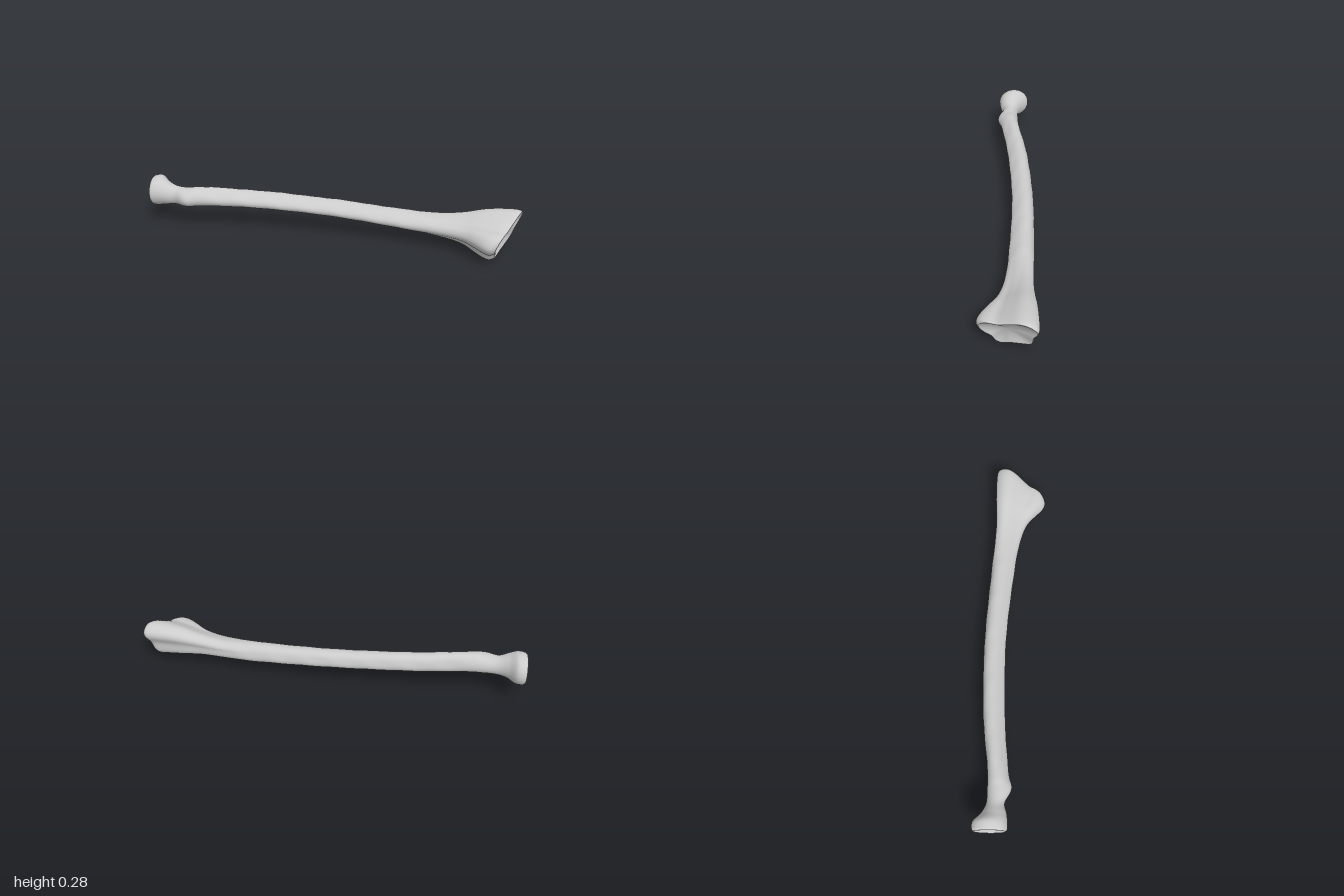
import * as THREE from 'three';

const { smoothstep, lerp } = THREE.MathUtils;
const SIDES = 72;
const STEPS = 12; // rings between two stations
const CAP = 14; // rings across each hollow joint face

// Outline of the flared wrist end, as [z, y], starting at +z and turning to +y
const FLARE = [
  [0.185, 0.11], [0.17, 0.153], [0.14, 0.17], [0.1, 0.176], [0.06, 0.2], [0, 0.236],
  [-0.04, 0.238], [-0.08, 0.212], [-0.087, 0.185], [-0.07, 0.14], [-0.062, 0.075],
  [0, 0.044], [0.04, 0.028], [0.075, 0.003], [0.1, 0.01], [0.125, 0.05], [0.16, 0.07],
];

// Stations along the bone: x, yMin, yMax, zMin, zMax
const STATIONS = [
  // head and neck
  [-1, 0.122, 0.268, -0.175, -0.02],
  [-0.985, 0.114, 0.277, -0.185, -0.01],
  [-0.95, 0.116, 0.28, -0.18, -0.01],
  [-0.91, 0.127, 0.258, -0.14, -0.015],
  [-0.86, 0.132, 0.237, -0.116, -0.024],
  // tuberosity
  [-0.79, 0.13, 0.235, -0.115, 0.009],
  [-0.7, 0.13, 0.24, -0.118, -0.007],
  // shaft
  [-0.4, 0.126, 0.225, -0.148, -0.028],
  [0, 0.108, 0.204, -0.149, -0.026],
  [0.4, 0.08, 0.184, -0.122, 0.014],
  [0.58, 0.067, 0.184, -0.103, 0.042],
  // flared wrist end
  [0.7, 0.052, 0.2, -0.092, 0.08],
  [0.79, 0.027, 0.228, -0.094, 0.13],
  [0.86, 0.01, 0.239, -0.092, 0.17],
  [0.905, 0.002, 0.239, -0.088, 0.185],
  [0.93, 0.012, 0.23, -0.078, 0.175],
];

// Flare outline scaled to a unit box, with the matching angle of each point
function unitFlare() {
  const curve = new THREE.CatmullRomCurve3(FLARE.map(([z, y]) => new THREE.Vector3(0, y, z)), true);
  return curve.getSpacedPoints(SIDES).slice(0, SIDES).map((p) => {
    const z = (p.z - 0.049) / 0.136;
    const y = (p.y - 0.121) / 0.118;
    return { z, y, angle: Math.atan2(y, z) };
  });
}

// Rounded three-sided shaft with a slightly rough crest
function shaftRadius(x, angle) {
  const crest = smoothstep(x, -0.9, -0.6) * (1 - smoothstep(x, 0.3, 0.75));
  const away = angle - 1.85;
  const ridge = Math.pow(Math.max(0, Math.cos(away)), 6);
  const rough = 0.03 * Math.sin(x * 41) * Math.sin(x * 23 + 1) * ridge + 0.012 * Math.sin(x * 37 + angle * 3);
  return 1 + crest * (rough - 0.07 * (1 - Math.cos(3 * away)) + 0.03 * ridge);
}

// One closed ring: scale shrinks it about its centre, shift moves it along x
function makeRing([x, y0, y1, z0, z1], flare, scale, shift) {
  const blend = smoothstep(x, 0.35, 0.88);
  const slant = smoothstep(x, 0.65, 0.92);
  return flare.map((f) => {
    const r = shaftRadius(x, f.angle);
    const dz = lerp(Math.cos(f.angle) * r, f.z, blend) * scale * (z1 - z0) / 2;
    const dy = lerp(Math.sin(f.angle) * r, f.y, blend) * scale * (y1 - y0) / 2;
    return [x + shift + slant * (0.345 * dy - 0.43 * dz), (y0 + y1) / 2 + dy, (z0 + z1) / 2 + dz];
  });
}

function boneGeometry() {
  const flare = unitFlare();
  const spline = new THREE.CubicInterpolant(STATIONS.map((_, i) => i), STATIONS.flat(), 5, new Float32Array(5));
  const last = STATIONS.length - 1;
  const rings = [];

  // hollow of the head, the bone itself, then the hollow of the wrist joint
  for (let i = 0; i < CAP; i++) {
    const s = i / CAP;
    rings.push(makeRing(STATIONS[0], flare, s, 0.022 * (1 - s * s)));
  }
  for (let i = 0; i <= last * STEPS; i++) {
    rings.push(makeRing(spline.evaluate(i / STEPS), flare, 1, 0));
  }
  for (let i = CAP - 1; i >= 0; i--) {
    const s = i / CAP;
    rings.push(makeRing(STATIONS[last], flare, s, -0.028 * (1 - s * s)));
  }

  const indices = [];
  for (let i = 0; i < rings.length - 1; i++) {
    for (let j = 0; j < SIDES; j++) {
      const a = i * SIDES + j;
      const b = i * SIDES + (j + 1) % SIDES;
      indices.push(a, a + SIDES, b, b, a + SIDES, b + SIDES);
    }
  }
  const geometry = new THREE.BufferGeometry();
  geometry.setAttribute('position', new THREE.Float32BufferAttribute(rings.flat(2), 3));
  geometry.setIndex(indices);
  geometry.computeVertexNormals();
  return geometry;
}

export function createModel() {
  const group = new THREE.Group();
  group.name = 'forearmBone';
  const bone = new THREE.Mesh(boneGeometry(), new THREE.MeshStandardMaterial({ color: 0xcccccc }));
  bone.name = 'radiusBone';
  group.add(bone);
  return group;
}
